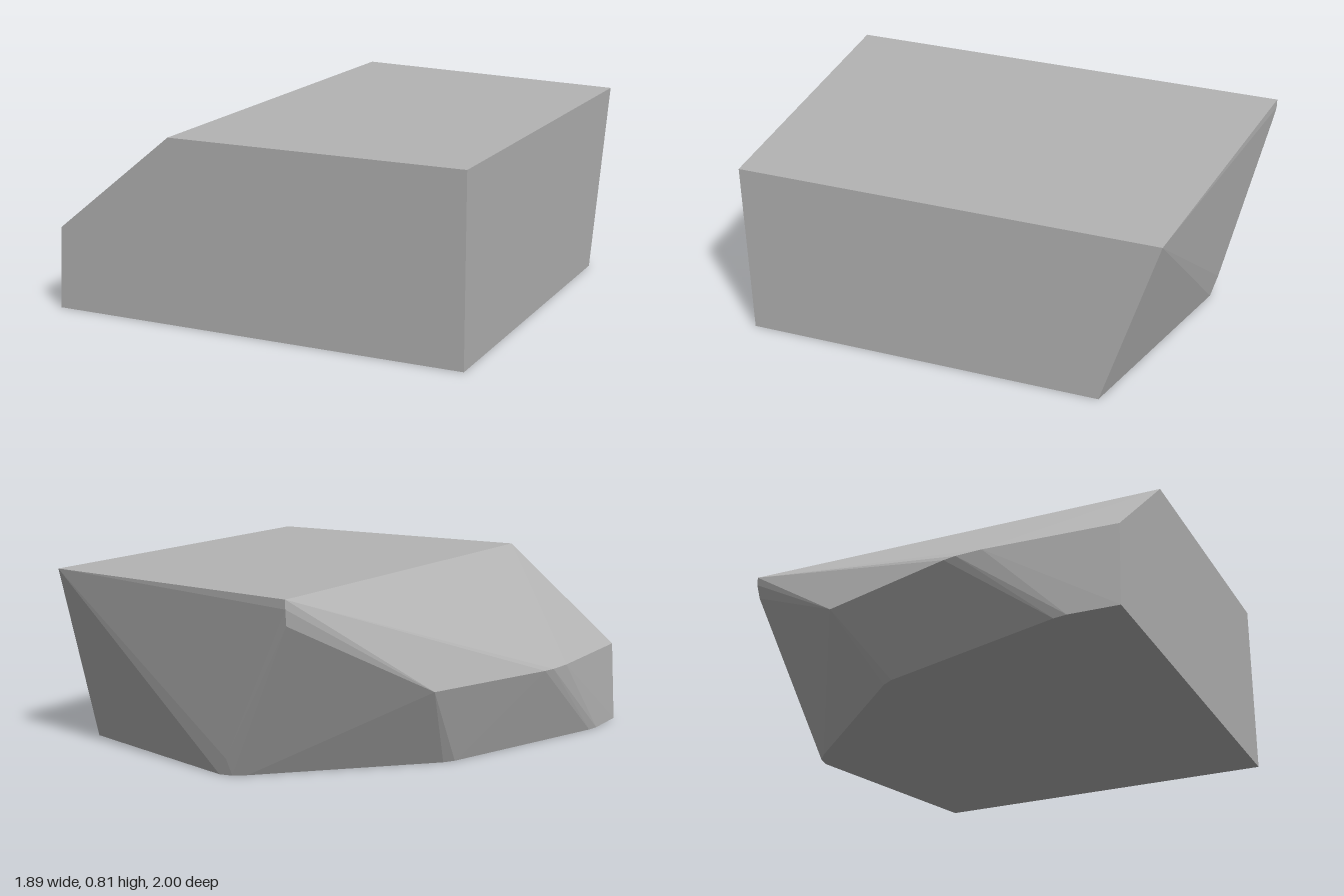
import * as THREE from 'three';
import { ConvexGeometry } from 'three/addons/geometries/ConvexGeometry.js';

// Outlines as [x, z] corners, each at its own height
const OUTLINES = [
  // base, with softened back and side corners
  { y: 0, corners: [[0.945, 1], [0.945, -0.585], [0.07, -0.845], [0.01, -0.835], [-0.04, -0.795],
    [-0.64, -0.17], [-0.67, -0.12], [-0.935, 0.72], [-0.945, 0.78], [-0.94, 1]] },
  // bulge just above the back corner of the base
  { y: 0.08, corners: [[0.02, -0.866]] },
  // lower edge of the sloping side
  { y: 0.365, corners: [[-0.92, 1], [-0.945, 0.42], [-0.938, 0.3], [-0.925, 0.24], [-0.72, -0.4]] },
  // blunt back corner below the top
  { y: 0.7, corners: [[-0.37, -0.986]] },
  { y: 0.77, corners: [[-0.375, -1]] },
  // flat top
  { y: 0.81, corners: [[0.945, 1], [0.945, -0.83], [-0.375, -1], [-0.375, 1]] },
];

export function createModel() {
  const group = new THREE.Group();
  group.name = 'facetedBlock';

  const grey = new THREE.MeshStandardMaterial({ color: 0xb3b3b3 });
  grey.name = 'grey';

  // Solid chiselled block wrapped around the outlines
  const points = OUTLINES.flatMap(({ y, corners }) =>
    corners.map(([x, z]) => new THREE.Vector3(x, y, z)));
  const block = new THREE.Mesh(new ConvexGeometry(points), grey);
  block.name = 'block';
  group.add(block);

  return group;
}
